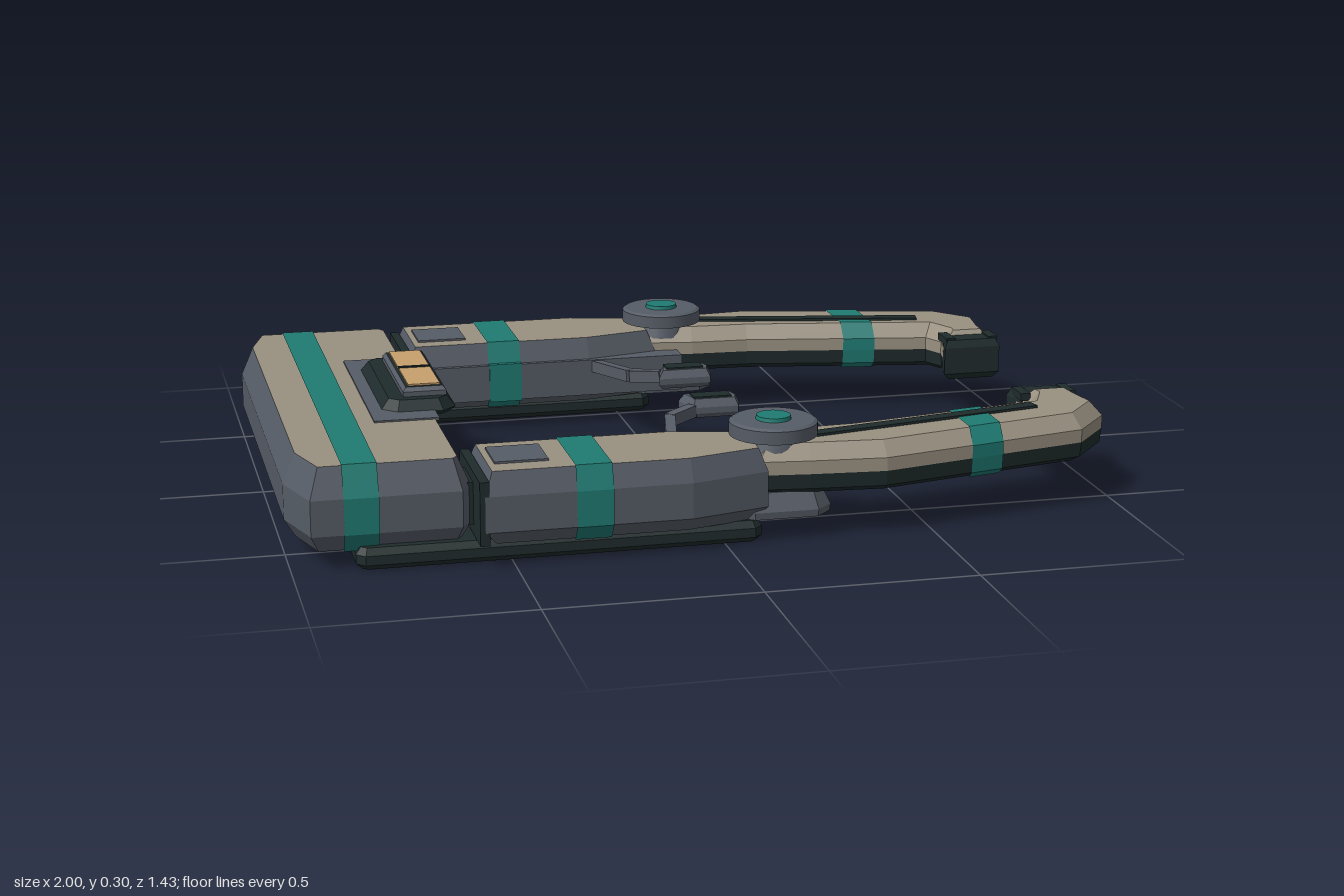
import * as THREE from 'three';

const mat = (name, color) => {
  const m = new THREE.MeshStandardMaterial({ color });
  m.name = name;
  return m;
};
const GREY = mat('slate grey', 0x565c66);
const BEIGE = mat('sand', 0x999080);
const TEAL = mat('teal', 0x1f7a72);
const DARK = mat('dark green black', 0x1f2b2c);
const AMBER = mat('amber', 0xc79f6c);

// Outline [x, z] -> counter-clockwise loop seen from above, as (x, -z)
function loopOf(plan, side) {
  const pts = plan.map(([x, z]) => new THREE.Vector2(x, -z * side));
  return THREE.ShapeUtils.area(pts) < 0 ? pts.reverse() : pts;
}

// Mitred inward offset of a loop
function inset(loop, d) {
  const n = loop.length;
  const normal = (a, b) => new THREE.Vector2(b.y - a.y, a.x - b.x).normalize();
  return loop.map((p, i) => {
    const n1 = normal(loop[(i + n - 1) % n], p), n2 = normal(p, loop[(i + 1) % n]);
    return p.clone().addScaledVector(n1.clone().add(n2), -d / (1 + n1.dot(n2)));
  });
}

// Mesh from lists of triangles, one list for each material
function facetMesh(name, lists, mats) {
  const geo = new THREE.BufferGeometry();
  geo.setAttribute('position', new THREE.Float32BufferAttribute(lists.flat(), 3));
  let start = 0;
  lists.forEach((l, i) => {
    geo.addGroup(start, l.length / 3, i);
    start += l.length / 3;
  });
  geo.computeVertexNormals();
  const mesh = new THREE.Mesh(geo, mats);
  mesh.name = name;
  return mesh;
}

// Bevelled solid: a plan outline stacked over levels [y, inset].
// mats = [bottom, side band 1, side band 2, ..., top]
function stack(name, plan, levels, mats, side = 1) {
  const base = loopOf(plan, side);
  const rings = levels.map(([y, d]) => inset(base, d).map(p => [p.x, y, -p.y]));
  const tris = THREE.ShapeUtils.triangulateShape(base.slice(), []);
  const first = rings[0], last = rings[rings.length - 1], n = base.length;
  const lists = [tris.flatMap(([a, b, c]) => [...first[a], ...first[c], ...first[b]])];
  for (let k = 0; k < rings.length - 1; k++) {
    const list = [];
    for (let i = 0; i < n; i++) {
      const j = (i + 1) % n, a = rings[k], b = rings[k + 1];
      list.push(...a[i], ...a[j], ...b[j], ...a[i], ...b[j], ...b[i]);
    }
    lists.push(list);
  }
  lists.push(tris.flatMap(([a, b, c]) => [...last[a], ...last[b], ...last[c]]));
  return facetMesh(name, lists, mats);
}

// Thin painted band wrapped round a stack between x0 and x1
function band(name, plan, levels, x0, x1, side = 1) {
  const lift = 0.003, base = loopOf(plan, side);
  const section = x => {
    const near = [], far = [];
    levels.forEach(([y, d], k) => {
      const loop = inset(base, d - lift), zs = [];
      loop.forEach((p, i) => {
        const q = loop[(i + 1) % loop.length];
        if ((p.x - x) * (q.x - x) < 0) zs.push(-(p.y + (q.y - p.y) * (x - p.x) / (q.x - p.x)));
      });
      const yy = k === 0 ? y - lift : k === levels.length - 1 ? y + lift : y;
      near.push([x, yy, Math.max(...zs)]);
      far.unshift([x, yy, Math.min(...zs)]);
    });
    return [...near, ...far];
  };
  const a = section(x0), b = section(x1), list = [];
  a.forEach((p, i) => {
    const j = (i + 1) % a.length;
    list.push(...p, ...b[i], ...b[j], ...p, ...b[j], ...a[j]);
  });
  return facetMesh(name, [list], [TEAL]);
}

function put(name, geo, material, x, y, z) {
  const mesh = new THREE.Mesh(geo, material);
  mesh.name = name;
  mesh.position.set(x, y, z);
  return mesh;
}
const box = (name, m, x0, x1, y0, y1, z0, z1) => put(name,
  new THREE.BoxGeometry(x1 - x0, y1 - y0, Math.abs(z1 - z0)), m, (x0 + x1) / 2, (y0 + y1) / 2, (z0 + z1) / 2);
const disc = (name, m, r0, r1, y0, y1, x, z) => put(name,
  new THREE.CylinderGeometry(r1, r0, y1 - y0, 28), m, x, (y0 + y1) / 2, z);

// Square bar running from a to b
function bar(name, m, a, b, w, h) {
  const from = new THREE.Vector3(...a), to = new THREE.Vector3(...b);
  const mesh = new THREE.Mesh(new THREE.BoxGeometry(w, h, from.distanceTo(to)), m);
  mesh.name = name;
  mesh.position.copy(from).add(to).multiplyScalar(0.5);
  mesh.lookAt(to);
  return mesh;
}
const rect = (x0, x1, z0, z1) => [[x0, z0], [x1, z0], [x1, z1], [x0, z1]];
const cut = (x0, x1, z0, z1, c) => [[x0 + c, z0], [x1 - c, z0], [x1, z0 + c], [x1, z1 - c],
  [x1 - c, z1], [x0 + c, z1], [x0, z1 - c], [x0, z0 + c]];

function createBody() {
  const g = new THREE.Group();
  g.name = 'body';
  const plan = [[-1, -0.5], [-0.955, -0.65], [-0.61, -0.65], [-0.585, -0.61],
    [-0.585, 0.61], [-0.61, 0.65], [-0.955, 0.65], [-1, 0.5]];
  const levels = [[0.043, 0.025], [0.085, 0], [0.17, 0], [0.24, 0.03]];
  g.add(stack('bodyHull', plan, levels, [BEIGE, GREY, GREY, GREY, BEIGE]));
  g.add(band('bodyStripe', plan, levels, -0.88, -0.8));
  g.add(box('consolePanel', GREY, -0.76, -0.605, 0.236, 0.244, -0.29, 0.29));
  // Console with two lit screens
  g.add(stack('consoleBase', cut(-0.73, -0.55, -0.225, 0.225, 0.035),
    [[0.23, 0.012], [0.242, 0], [0.268, 0.02]], [DARK, DARK, DARK, DARK]));
  g.add(stack('consoleTop', rect(-0.675, -0.57, -0.18, 0.18),
    [[0.264, 0], [0.28, 0], [0.29, 0.008]], [GREY, GREY, GREY, DARK]));
  for (const s of [-1, 1]) g.add(box('screen', AMBER, -0.66, -0.583, 0.288, 0.294, s * 0.006, s * 0.162));
  g.add(box('screenDivider', DARK, -0.66, -0.583, 0.288, 0.297, -0.005, 0.005));
  return g;
}

function createArm(s) {
  const g = new THREE.Group();
  g.name = s > 0 ? 'frontArm' : 'backArm';
  const hx = 0.135, hz = 0.57 * s;

  // Upper arm
  const upper = [[-0.57, 0.445], [-0.09, 0.445], [0.1, 0.49], [0.1, 0.66], [-0.09, 0.71], [-0.57, 0.71]];
  const upLevels = [[0.05, 0.03], [0.085, 0], [0.17, 0], [0.224, 0.02]];
  g.add(stack('upperArm', upper, upLevels, [BEIGE, GREY, GREY, GREY, BEIGE], s));
  g.add(band('upperArmStripe', upper, upLevels, -0.36, -0.275, s));
  g.add(box('topHatch', GREY, -0.535, -0.41, 0.222, 0.229, 0.51 * s, 0.635 * s));
  g.add(box('shoulderPlate', DARK, -0.582, -0.56, 0.055, 0.205, 0.435 * s, 0.71 * s));
  g.add(box('shoulderJoint', DARK, -0.62, -0.57, 0.08, 0.18, 0.5 * s, 0.62 * s));
  g.add(box('innerRail', GREY, -0.55, 0.16, 0.075, 0.17, 0.432 * s, 0.49 * s));
  g.add(box('innerRailStripe', TEAL, -0.36, -0.275, 0.072, 0.173, 0.429 * s, 0.48 * s));

  // Skid underneath
  g.add(stack('skid', cut(-0.855, 0.09, 0.505, 0.663, 0.02),
    [[0, 0.015], [0.014, 0], [0.036, 0], [0.052, 0.012]], [DARK, DARK, DARK, DARK, DARK], s));

  // Elbow
  g.add(stack('elbowLug', cut(0.03, 0.262, 0.485, 0.66, 0.04),
    [[0.053, 0.002], [0.07, 0], [0.112, 0.02]], [GREY, GREY, GREY, GREY], s));
  g.add(disc('elbowNeck', GREY, 0.075, 0.065, 0.2, 0.237, hx, hz));
  g.add(disc('elbowDisc', GREY, 0.104, 0.104, 0.235, 0.266, hx, hz));
  g.add(disc('elbowRim', GREY, 0.104, 0.096, 0.266, 0.271, hx, hz));
  g.add(disc('elbowCap', TEAL, 0.042, 0.04, 0.27, 0.28, hx, hz));

  // Forearm with hooked end
  const fore = [[0.08, 0.5], [0.2, 0.48], [0.35, 0.473], [0.825, 0.385], [0.85, 0.33], [0.84, 0.28],
    [0.98, 0.28], [0.985, 0.35], [1, 0.45], [0.905, 0.56], [0.38, 0.68], [0.2, 0.665], [0.08, 0.65]];
  const foreLevels = [[0.108, 0.025], [0.122, 0.004], [0.158, 0], [0.19, 0], [0.226, 0.03]];
  g.add(stack('forearm', fore, foreLevels, [BEIGE, DARK, DARK, BEIGE, BEIGE, BEIGE], s));
  g.add(band('forearmStripe', fore, foreLevels, 0.605, 0.688, s));
  g.add(bar('forearmChannel', DARK, [0.2, 0.223, 0.583 * s], [0.82, 0.223, 0.457 * s], 0.034, 0.018));
  g.add(stack('gripTip', [[0.83, 0.237], [0.982, 0.237], [0.976, 0.305], [0.846, 0.305]],
    [[0.108, 0.012], [0.125, 0], [0.195, 0], [0.215, 0.008]], [DARK, DARK, DARK, DARK, DARK], s));
  for (const x of [0.838, 0.955]) g.add(box('gripTooth', DARK, x, x + 0.025, 0.2, 0.219, 0.25 * s, 0.32 * s));

  // Hand control on a bent stalk
  const bend = [[-0.075, 0.15, 0.45 * s], [-0.028, 0.18, 0.215 * s], [0.04, 0.187, 0.17 * s]];
  for (let i = 0; i < 2; i++) g.add(bar('controlStalk', GREY, bend[i], bend[i + 1], 0.026, 0.03));
  g.add(stack('controlPad', [[0.02, 0.105], [0.155, 0.105], [0.165, 0.145], [0.155, 0.18], [0.04, 0.18]],
    [[0.168, 0.008], [0.18, 0], [0.195, 0], [0.215, 0.01]], [GREY, GREY, GREY, GREY, GREY], s));
  g.add(box('controlPadFace', DARK, 0.045, 0.14, 0.212, 0.219, 0.122 * s, 0.166 * s));
  return g;
}

export function createModel() {
  const model = new THREE.Group();
  model.name = 'armedCarrier';
  model.add(createBody(), createArm(1), createArm(-1));
  return model;
}
